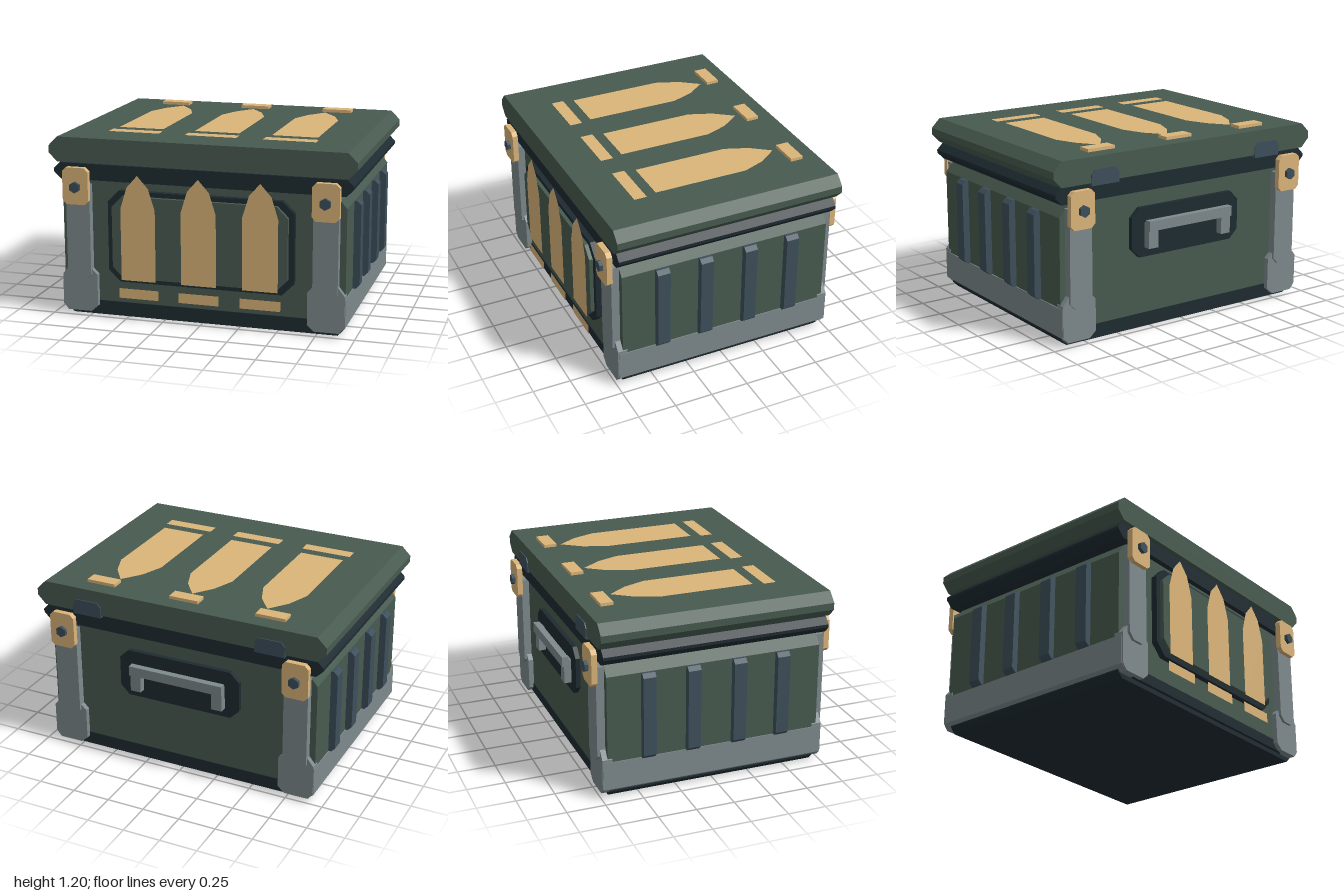
import * as THREE from 'three';

const mat = (color, side = THREE.FrontSide) =>
  new THREE.MeshStandardMaterial({ color, side, flatShading: true });
const GREEN = mat(0x485b50), DARK = mat(0x1e2b31), BLUE = mat(0x3d4f5b);
const GREY = mat(0x7e8a8d), TAN = mat(0xdcb57a), DECAL = mat(0xdcb57a, THREE.DoubleSide);

const shapeOf = pts => new THREE.Shape(pts.map(p => new THREE.Vector2(p[0], p[1])));

// rectangle with cut corners
const cutRect = (x0, x1, y0, y1, c) => [
  [x0 + c, y0], [x1 - c, y0], [x1, y0 + c], [x1, y1 - c],
  [x1 - c, y1], [x0 + c, y1], [x0, y1 - c], [x0, y0 + c]];

// complete a right-hand profile (bottom to top) with its mirror image
const mirrored = pts => [...pts, ...pts.map(([x, y]) => [-x, y]).reverse()];

export function createModel() {
  const root = new THREE.Group();

  const add = (name, geo, material, parent = root) => {
    const m = new THREE.Mesh(geo, material);
    m.name = name;
    parent.add(m);
    return m;
  };
  // profile in x/y extruded from z0 to z1
  const slab = (name, pts, z0, z1, material, parent) => {
    const g = new THREE.ExtrudeGeometry(shapeOf(pts), { depth: z1 - z0, bevelEnabled: false });
    return add(name, g.translate(0, 0, z0), material, parent);
  };
  const box = (name, x0, x1, y0, y1, z0, z1, material, parent) =>
    add(name, new THREE.BoxGeometry(x1 - x0, y1 - y0, z1 - z0)
      .translate((x0 + x1) / 2, (y0 + y1) / 2, (z0 + z1) / 2), material, parent);

  // main shell
  slab('base', mirrored([[0.88, 0], [0.915, 0.035], [0.915, 0.1]]), -0.695, 0.695, DARK);
  slab('body', mirrored([[0.9, 0.1], [0.93, 0.13], [0.93, 0.82], [0.86, 0.905]]), -0.71, 0.71, GREEN);
  for (const s of [1, -1])
    box('lowerBand', -0.8, 0.8, 0.03, 0.1, s * 0.7 - 0.015, s * 0.7 + 0.015, DARK);
  slab('rim', mirrored([[0.93, 0.905], [0.975, 0.95], [0.975, 0.97], [0.935, 1.01]]), -0.742, 0.745, DARK);
  slab('lid', mirrored([[0.945, 1.018], [1, 1.075], [1, 1.12], [0.94, 1.18]]), -0.763, 0.763, GREEN);

  // side skirts and ribs
  for (const s of [1, -1]) {
    const side = new THREE.Group();
    side.name = s > 0 ? 'leftSide' : 'rightSide';
    side.rotation.y = s > 0 ? 0 : Math.PI;
    root.add(side);
    slab('skirt', [[0.85, 0.03], [0.895, 0.03], [0.936, 0.065], [0.936, 0.25], [0.85, 0.25]],
      -0.738, 0.738, GREY, side);
    for (const z of [-0.447, -0.153, 0.153, 0.447])
      slab('rib', [[0.9, 0.25], [0.95, 0.25], [0.975, 0.275], [0.975, 0.795], [0.95, 0.82], [0.9, 0.82]],
        z - 0.042, z + 0.042, BLUE, side);
  }

  // corner hardware: cap, post, latch and bolt at all four corners
  for (const turn of [0, Math.PI]) for (const s of [1, -1]) {
    const corner = new THREE.Group();
    corner.name = 'cornerHardware';
    corner.rotation.y = turn;
    root.add(corner);
    const at = pts => pts.map(([x, y]) => [s * x, y]);
    slab('cornerCap', at([[0.74, 0.03], [0.9, 0.03], [0.933, 0.07], [0.933, 0.27], [0.89, 0.325],
      [0.74, 0.325], [0.695, 0.28], [0.695, 0.07]]), 0.68, 0.745, GREY, corner);
    slab('post', at([[0.77, 0.24], [0.85, 0.24], [0.89, 0.28], [0.89, 0.875], [0.73, 0.875],
      [0.73, 0.28]]), 0.70, 0.762, GREY, corner);
    slab('latch', at(cutRect(0.727, 0.9, 0.75, 0.99, 0.025)), 0.755, 0.792, TAN, corner);
    add('bolt', new THREE.CylinderGeometry(0.037, 0.037, 0.05, 6)
      .rotateX(Math.PI / 2).translate(s * 0.812, 0.865, 0.79), BLUE, corner);
  }

  // raised front panel: dark bevelled surround with a green face
  slab('panelSurround', cutRect(-0.61, 0.61, 0.25, 0.85, 0.075), 0.70, 0.75, DARK);
  slab('panelFace', cutRect(-0.575, 0.575, 0.283, 0.82, 0.07), 0.74, 0.775, GREEN);

  // flat painted pointed markings with a bar beneath each
  const pointed = (w, y0, shoulder, mid, tip) => new THREE.ShapeGeometry(shapeOf([
    [-w, y0], [w, y0], [w, shoulder], [w * 0.62, mid], [0, tip], [-w * 0.62, mid], [-w, shoulder]]));
  for (const i of [-1, 0, 1]) {
    add('frontMarking', pointed(0.115, 0.27, 0.74, 0.88, 0.96).translate(i * 0.4, 0, 0.778), DECAL);
    add('frontMarkingBar', new THREE.PlaneGeometry(0.265, 0.065)
      .translate(i * 0.4, 0.182, 0.778), DECAL);
    add('lidMarking', pointed(0.15, -0.36, 0.26, 0.41, 0.535)
      .rotateX(-Math.PI / 2).translate(i * 0.515, 1.183, 0), DECAL);
    add('lidMarkingBar', new THREE.PlaneGeometry(0.342, 0.083)
      .rotateX(-Math.PI / 2).translate(i * 0.515, 1.183, 0.47), DECAL);
    box('lidBlock', i * 0.588 - 0.099, i * 0.588 + 0.099, 1.17, 1.2, -0.657, -0.573, TAN);
  }

  // rear hinges
  for (const s of [1, -1])
    slab('hinge', [[s * 0.535, 1], [s * 0.735, 1], [s * 0.735, 1.07], [s * 0.71, 1.1],
      [s * 0.56, 1.1], [s * 0.535, 1.07]], -0.77, -0.69, BLUE);

  // rear carrying handle on its backing plate
  const handle = new THREE.Group();
  handle.name = 'rearHandle';
  root.add(handle);
  slab('handlePlate', cutRect(-0.42, 0.42, 0.48, 0.80, 0.06), -0.74, -0.70, DARK, handle);
  box('handleBar', -0.325, 0.325, 0.655, 0.72, -0.8, -0.757, GREY, handle);
  for (const s of [1, -1])
    box('handleLeg', s * 0.287 - 0.036, s * 0.287 + 0.036, 0.54, 0.7, -0.787, -0.73, GREY, handle);

  return root;
}
